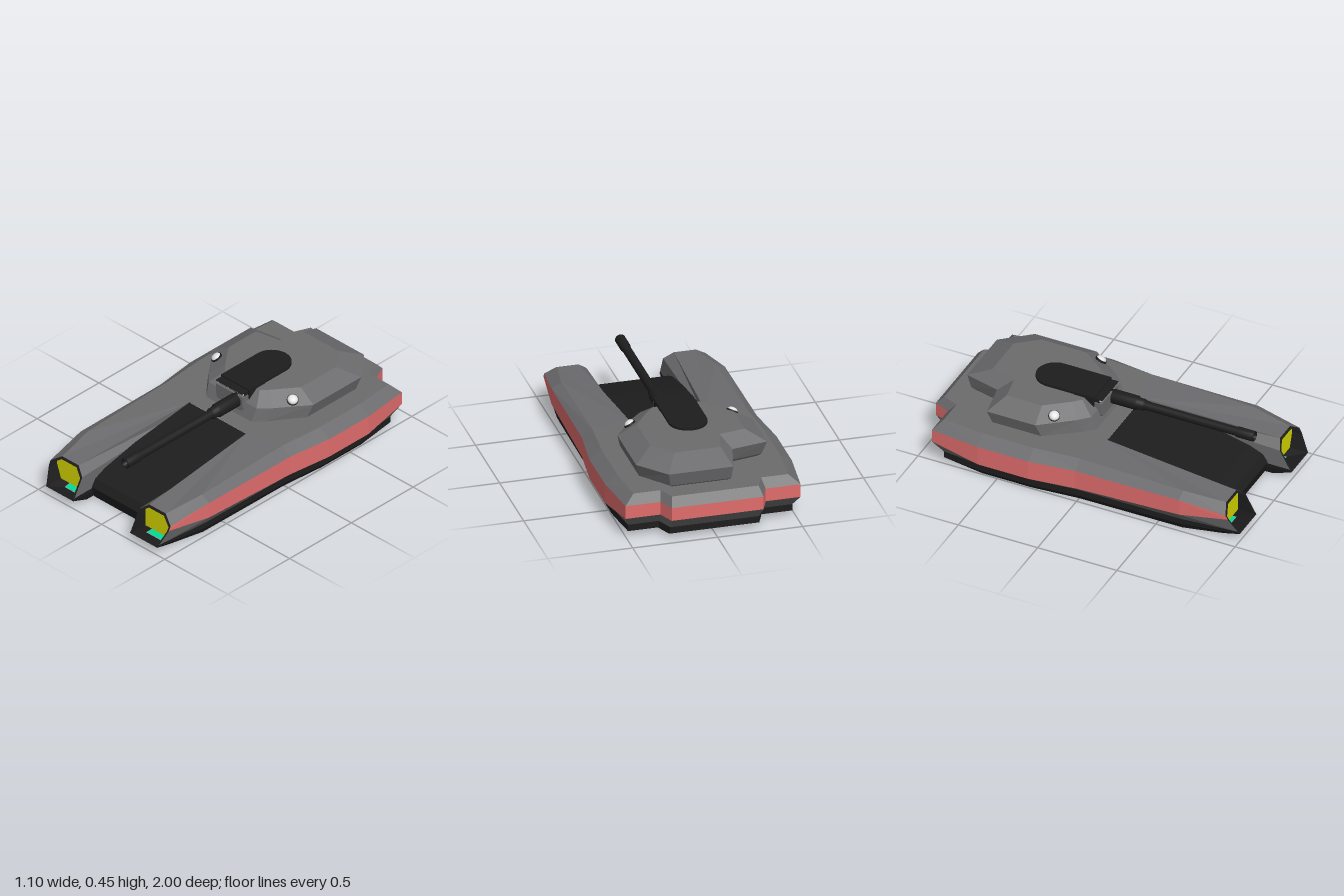
import * as THREE from 'three';

const mat = (name, color, side = THREE.FrontSide) => {
  const m = new THREE.MeshStandardMaterial({ color, side });
  m.name = name;
  return m;
};

// Flat-faced mesh from a list of polygons, each fanned from its first corner
function facets(name, polys, material) {
  const pos = [];
  for (const p of polys)
    for (let i = 1; i < p.length - 1; i++) pos.push(...p[0], ...p[i], ...p[i + 1]);
  const g = new THREE.BufferGeometry();
  g.setAttribute('position', new THREE.Float32BufferAttribute(pos, 3));
  g.computeVertexNormals();
  const m = new THREE.Mesh(g, material);
  m.name = name;
  return m;
}

// Mirror a polygon, keeping its first corner as the centre of the fan
const flip = p => [p[0], ...p.slice(1).reverse()].map(([x, y, z]) => [-x, y, z]);
const mirrored = polys => [...polys, ...polys.map(flip)];
const wall = (a, b, i, j) => [a[i], a[j], b[j], b[i]];

// Widest plan of the hull side, from behind the nose to the stern
const sidePlan = [[.51, .65], [.515, 0], [.55, -.28], [.55, -.6], [.515, -.905], [.31, -.905], [.27, -1]];

// Half outline at one level: trough corner, nose, side, stern centre
function hullRing({ y, front, rear, nose, inset, back }) {
  const [xIn, xOut, yNose, zNose] = nose;
  const side = sidePlan.map(([x, z], i) => [
    x - inset * Math.max(.25, (x - .35) * 6),
    i === 0 ? front : i < 4 ? y : rear,
    i < 4 ? z : z + back,
  ]);
  const stern = [0, rear, side[6][2]];
  return [[.225, y, .06], [xIn, yNose, zNose], [xOut, yNose, zNose], ...side, stern];
}

export function createModel() {
  const grey = mat('armour grey', 0x6b6b6d);
  const black = mat('black', 0x1d1d1e, THREE.DoubleSide);
  const red = mat('side red', 0xe06c6c);
  const yellow = mat('headlight yellow', 0xd6d600, THREE.DoubleSide);
  const green = mat('underside green', 0x00dc98);
  const white = mat('lens white', 0xe2e4e2);

  const root = new THREE.Group();
  const add = (name, geo, material, x = 0, y = 0, z = 0, parent = root) => {
    const m = new THREE.Mesh(geo, material);
    m.name = name;
    m.position.set(x, y, z);
    parent.add(m);
    return m;
  };

  // Hull levels: bottom, lip, skirt top, band bottom, band top, deck edge
  const rings = [
    { y: 0, front: 0, rear: .01, nose: [.235, .41, 0, .88], inset: .05, back: .1 },
    { y: .03, front: .035, rear: .03, nose: [.225, .44, .05, 1], inset: .032, back: .06 },
    { y: .07, front: .07, rear: .07, nose: [.225, .445, .065, .99], inset: .032, back: .06 },
    { y: .1, front: .12, rear: .14, nose: [.225, .475, .153, .941], inset: 0, back: 0 },
    { y: .22, front: .22, rear: .22, nose: [.225, .475, .178, .927], inset: 0, back: 0 },
    { y: .27, front: .25, rear: .27, nose: [.28, .41, .222, .9], inset: .06, back: .047 },
  ].map(hullRing);
  const skirt = [], armour = [], band = [];
  for (let r = 0; r < 5; r++) {
    for (let i = 0; i < 10; i++) {
      if (i === 1 && r > 0) continue; // open nose
      const list = r < 2 ? skirt : r === 3 && i > 0 ? band : armour;
      list.push(wall(rings[r], rings[r + 1], i, i + 1));
    }
  }
  armour.push([...rings[5], [0, .27, .06]]);
  root.add(facets('hullSkirt', mirrored(skirt), black));
  root.add(facets('hullArmour', mirrored(armour), grey));
  root.add(facets('sideBand', mirrored(band), red));
  const bottom = rings[0];
  const centre = [[0, 0, .06], bottom[0], [.225, 0, .82], [0, 0, .82]];
  root.add(facets('underside', mirrored([[bottom[0], [0, 0, .06], ...bottom.slice(1).reverse()], centre]), green));

  // Nose openings: black rim, floor open to the green base, yellow headlight
  const outer = [1, 2, 3, 4, 5].map(r => rings[r][1]).concat([5, 4, 3, 2, 1].map(r => rings[r][2]));
  const inner = outer.map(([x, y]) => {
    const iy = .054 + (y - .05) * .9;
    return [.35 + (x - .35) * .91, iy, 1 - (iy - .05) * .57];
  });
  const back = inner.map(([x, y]) => [x, y, .888]);
  const recess = [];
  for (let i = 0; i < 10; i++) {
    const j = (i + 1) % 10;
    recess.push(wall(outer, inner, i, j));
    if (i < 9) recess.push(wall(inner, back, i, j));
  }
  const floor = [[.24, .7], [.24, .878], [.408, .878], [.42, .7]].map(([x, z]) => [x, .003, z]);
  root.add(facets('headlightRecess', mirrored(recess), black));
  root.add(facets('headlight', mirrored([back.slice().reverse()]), yellow));
  root.add(facets('recessFloor', mirrored([floor]), green));

  // Sloping front deck between the noses
  const ramp = new THREE.Shape([[.06, .268], [.5, .21], [.74, .155], [.82, .12], [.85, .075], [.83, .002], [.06, .002]]
    .map(p => new THREE.Vector2(...p)));
  const rampGeo = new THREE.ExtrudeGeometry(ramp, { depth: .45, bevelEnabled: false });
  rampGeo.rotateY(-Math.PI / 2); // profile runs along z
  add('frontDeck', rampGeo, black, .225);

  // Turret: one outline with a rear cut-out, repeated in four tiers
  const plan = [[.19, -.06], [.25, -.12], [.395, -.31], [.395, -.7], [.25, -.87], [-.13, -.87],
    [-.185, -.655], [-.4, -.615], [-.4, -.31], [-.25, -.12], [-.19, -.06]];
  const tier = (y, sx, zFront, sz) => plan.map(([x, z]) => [x * sx, y, zFront + (z + .06) * sz]);
  const tiers = [tier(.262, .85, -.065, .93), tier(.285, .94, -.03, 1.012), tier(.367, 1, -.06, 1), tier(.43, .72, -.14, .728)];
  const turret = [];
  for (let i = 0; i < plan.length; i++) {
    const j = (i + 1) % plan.length;
    for (let r = 0; r < 3; r++) turret.push(wall(tiers[r], tiers[r + 1], i, j));
    turret.push([[.05, .43, -.4], tiers[3][i], tiers[3][j]]);
    turret.push([[.05, .262, -.4], tiers[0][j], tiers[0][i]]);
  }
  root.add(facets('turret', turret, grey));

  // Mantlet with rounded lower corners, sight and its visor above
  const ms = new THREE.Shape();
  ms.moveTo(-.105, .41);
  ms.lineTo(-.105, .345);
  ms.quadraticCurveTo(-.105, .315, -.075, .315);
  ms.lineTo(.075, .315);
  ms.quadraticCurveTo(.105, .315, .105, .345);
  ms.lineTo(.105, .41);
  add('mantlet', new THREE.ExtrudeGeometry(ms, { depth: .165, bevelEnabled: false }), grey, 0, 0, -.2);
  add('sightHousing', new THREE.BoxGeometry(.2, .026, .15), black, 0, .421, -.125);
  add('sightGlass', new THREE.BoxGeometry(.2, .013, .006), white, 0, .425, -.047);
  add('sightVisor', new THREE.BoxGeometry(.208, .006, .1), black, 0, .435, -.082);

  // Gun cover: round-backed plate with side flaps
  const cs = new THREE.Shape();
  cs.moveTo(-.112, .08);
  cs.lineTo(.112, .08);
  cs.lineTo(.112, .378);
  cs.absarc(0, .378, .112, 0, Math.PI, false);
  cs.closePath();
  const cover = new THREE.ExtrudeGeometry(cs, { depth: .014, bevelEnabled: false, curveSegments: 20 });
  cover.rotateX(-Math.PI / 2);
  add('gunCover', cover, black, 0, .432, 0);
  for (const s of [1, -1])
    add('coverFlap', new THREE.BoxGeometry(.009, .07, .13), black, s * .1085, .405, -.145);

  // Gun barrel, turned about its own axis and laid forward
  const gun = [[0, -.1], [.042, -.1], [.042, .115], [.034, .125], [.034, .16], [.026, .17],
    [.026, .74], [.031, .75], [.031, .855], [.02, .857], [.02, .8], [0, .8]]
    .map(p => new THREE.Vector2(...p));
  const gunGeo = new THREE.LatheGeometry(gun, 20);
  gunGeo.rotateX(Math.PI / 2);
  add('gunBarrel', gunGeo, black, .047, .37, 0);

  // Turret lamps set into the sloping cheeks
  for (const s of [1, -1]) {
    const lamp = new THREE.Group();
    lamp.name = s > 0 ? 'leftLamp' : 'rightLamp';
    add('lampRim', new THREE.CylinderGeometry(.034, .034, .02, 20), black, 0, 0, 0, lamp);
    add('lampLens', new THREE.SphereGeometry(.03, 20, 12), white, 0, .008, 0, lamp).scale.y = .65;
    lamp.position.set(s * .3, .39, -.24);
    lamp.quaternion.setFromUnitVectors(new THREE.Vector3(0, 1, 0),
      new THREE.Vector3(s * .46, .82, .34).normalize());
    root.add(lamp);
  }
  return root;
}
